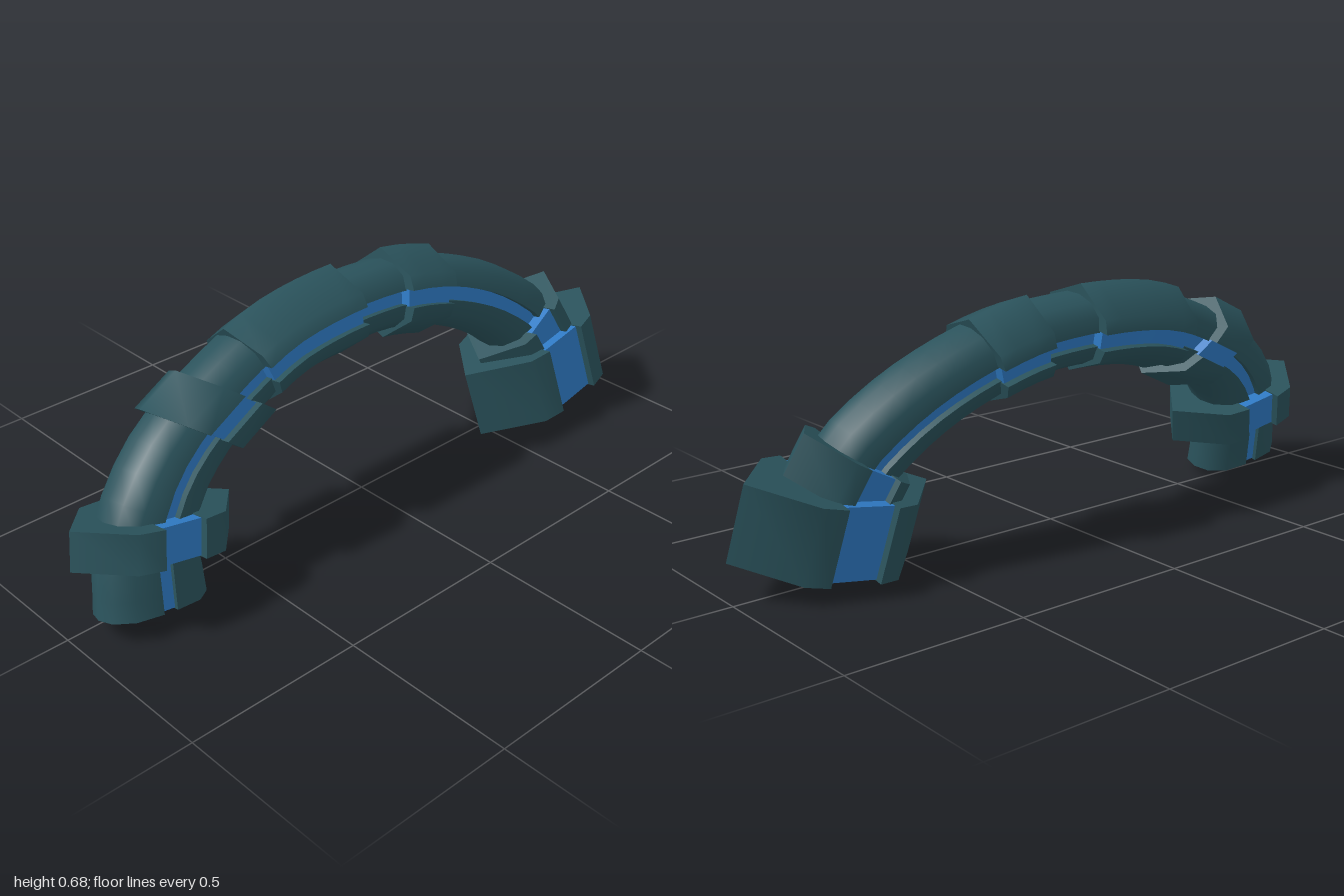
import * as THREE from 'three';
import { toCreasedNormals } from 'three/addons/utils/BufferGeometryUtils.js';

const casing = new THREE.MeshStandardMaterial({ color: 0x2a525b });
casing.name = 'dark teal casing';
const glow = new THREE.MeshStandardMaterial({ color: 0x2f7ac4 });
glow.name = 'blue core';

// Points in the arch's own leaning plane: z, height, sideways shift
const at = (z, y, x = 0) => new THREE.Vector3(x, y * 1.018, z);
const X = new THREE.Vector3(1, 0, 0);

// Centre line of the arch from the front foot to the back foot
const path = new THREE.CatmullRomCurve3([
  at(0.785, 0.03, 0.022), at(0.76, 0.21, 0.022), at(0.67, 0.34, 0.015), at(0.5, 0.45, 0.005),
  at(0.3, 0.53), at(0.17, 0.552), at(-0.02, 0.557), at(-0.19, 0.54), at(-0.395, 0.475),
  at(-0.55, 0.39), at(-0.665, 0.285), at(-0.707, 0.15), at(-0.722, 0.04),
]);
path.arcLengthDivisions = 600;
const LENGTH = path.getLength();

// A frame gives a position and an outward direction at distance s
function pathFrame(s) {
  const u = THREE.MathUtils.clamp(s / LENGTH, 0, 1);
  return { p: path.getPointAt(u), n: new THREE.Vector3().crossVectors(X, path.getTangentAt(u)) };
}
function straightFrame(centre, out, along) {
  const n = new THREE.Vector3(0, out[1], out[0]).normalize();
  const t = new THREE.Vector3(0, along[1], along[0]).normalize();
  return (s) => ({ p: centre.clone().addScaledVector(t, s), n });
}

// Sweep a convex section (counter-clockwise [x, outward] points) from distance s0 to s1
function sweep(frame, section, s0, s1, steps) {
  const rings = [];
  for (let i = 0; i <= steps; i++) {
    const s = s0 + (s1 - s0) * i / steps;
    const { p, n } = frame(s);
    rings.push(section(s).map(([x, r]) => p.clone().addScaledVector(X, x).addScaledVector(n, r)));
  }
  const out = [];
  const tri = (...pts) => pts.forEach((v) => out.push(v.x, v.y, v.z));
  const count = rings[0].length;
  for (let i = 0; i < steps; i++) {
    for (let j = 0; j < count; j++) {
      const k = (j + 1) % count;
      const a = rings[i][j], b = rings[i][k], c = rings[i + 1][k], d = rings[i + 1][j];
      tri(a, d, c);
      tri(a, c, b);
    }
  }
  const first = rings[0], last = rings[steps];
  for (let j = 1; j < count - 1; j++) {
    tri(first[0], first[j], first[j + 1]);
    tri(last[0], last[j + 1], last[j]);
  }
  const geo = new THREE.BufferGeometry();
  geo.setAttribute('position', new THREE.Float32BufferAttribute(out, 3));
  return toCreasedNormals(geo, 1.1);
}

// Mirror the outer section to the inside of the arch
const flip = (pts) => pts.map(([x, r]) => [x, -r]).reverse();

// Plain tube section, thicker towards the feet
const depths = [[0, 0.155], [0.3, 0.125], [0.6, 0.105], [1.1, 0.095], [1.5, 0.105], [2.1, 0.13]];
function plainDepth(s) {
  const i = Math.max(1, depths.findIndex(([d]) => d >= s));
  const [a, ha] = depths[i - 1], [b, hb] = depths[i];
  return THREE.MathUtils.lerp(ha, hb, (s - a) / (b - a));
}
function plainSection(s) {
  const h = plainDepth(s), w = s < 0.2 ? 0.09 : 0.098, c = 0.02;
  return [[w, c], [w * 0.9, h * 0.62], [w * 0.5, h * 0.92], [0, h],
    [-w * 0.5, h * 0.92], [-w * 0.9, h * 0.62], [-w, c]];
}

// Raised collar section with a ridge along its middle
const collarSection = ({ w, h, drop, gap }) => () =>
  [[w, gap], [w * 0.9, h - drop], [0, h], [-w * 0.9, h - drop], [-w, gap]];

const coreSection = (w, h) => () => [[w, -h], [w, h], [-w, h], [-w, -h]];

const collars = [
  { name: 'frontFootCollar', frame: straightFrame(at(0.738, 0.212, 0.022), [0.98, 0.18], [-0.2, 0.98]),
    s0: -0.052, s1: 0.052, w: 0.145, h: 0.24, drop: 0.11, gap: 0.06, steps: 1 },
  { name: 'frontCollar', frame: straightFrame(at(0.507, 0.445, 0.005), [0.257, 0.2], [-0.9, 0.44]),
    s0: -0.068, s1: 0.068, w: 0.13, h: 0.163, drop: 0.07, gap: 0.03, steps: 1 },
  { name: 'longCollar', frame: pathFrame, s0: 0.7, s1: 1.04, w: 0.13, h: 0.126, drop: 0.065, gap: 0.024, steps: 6 },
  { name: 'backCollar', frame: pathFrame, s0: 1.208, s1: 1.372, w: 0.13, h: 0.128, drop: 0.065, gap: 0.024, steps: 3 },
  { name: 'backShoulder', frame: straightFrame(at(-0.67, 0.27), [-0.87, 0.49], [-0.45, -0.9]),
    s0: -0.055, s1: 0.06, w: 0.135, h: 0.183, drop: 0.09, gap: 0.05, steps: 1 },
  { name: 'backFootBlock', frame: straightFrame(at(-0.712, 0.153), [-0.98, 0.19], [-0.18, -0.98]),
    s0: -0.105, s1: 0.105, w: 0.165, h: 0.276, drop: 0.135, gap: 0.075, steps: 1 },
];

export function createModel() {
  const model = new THREE.Group();
  model.name = 'segmentedArch';
  const arch = new THREE.Group();
  arch.name = 'leaningArch';
  arch.rotation.z = 0.188;
  arch.position.x = 0.04;
  model.add(arch);

  const add = (name, geo, material) => {
    const mesh = new THREE.Mesh(geo, material);
    mesh.name = name;
    arch.add(mesh);
  };
  const addHalves = (name, frame, section, s0, s1, steps) => {
    add(name + 'Outer', sweep(frame, section, s0, s1, steps), casing);
    add(name + 'Inner', sweep(frame, (s) => flip(section(s)), s0, s1, steps), casing);
  };

  // Plain tube halves with the core showing between them
  addHalves('tube', pathFrame, plainSection, 0, 1.88, 30);
  add('core', sweep(pathFrame, coreSection(0.078, 0.04), 0.003, 1.88, 30), glow);

  // Collars and the heavy back foot, each with a wider strip of core
  for (const c of collars) {
    addHalves(c.name, c.frame, collarSection(c), c.s0, c.s1, c.steps);
    const core = coreSection(c.w - 0.022, c.gap + 0.01);
    add(c.name + 'Core', sweep(c.frame, core, c.s0 + 0.003, c.s1 - 0.003, c.steps), glow);
  }
  return model;
}
